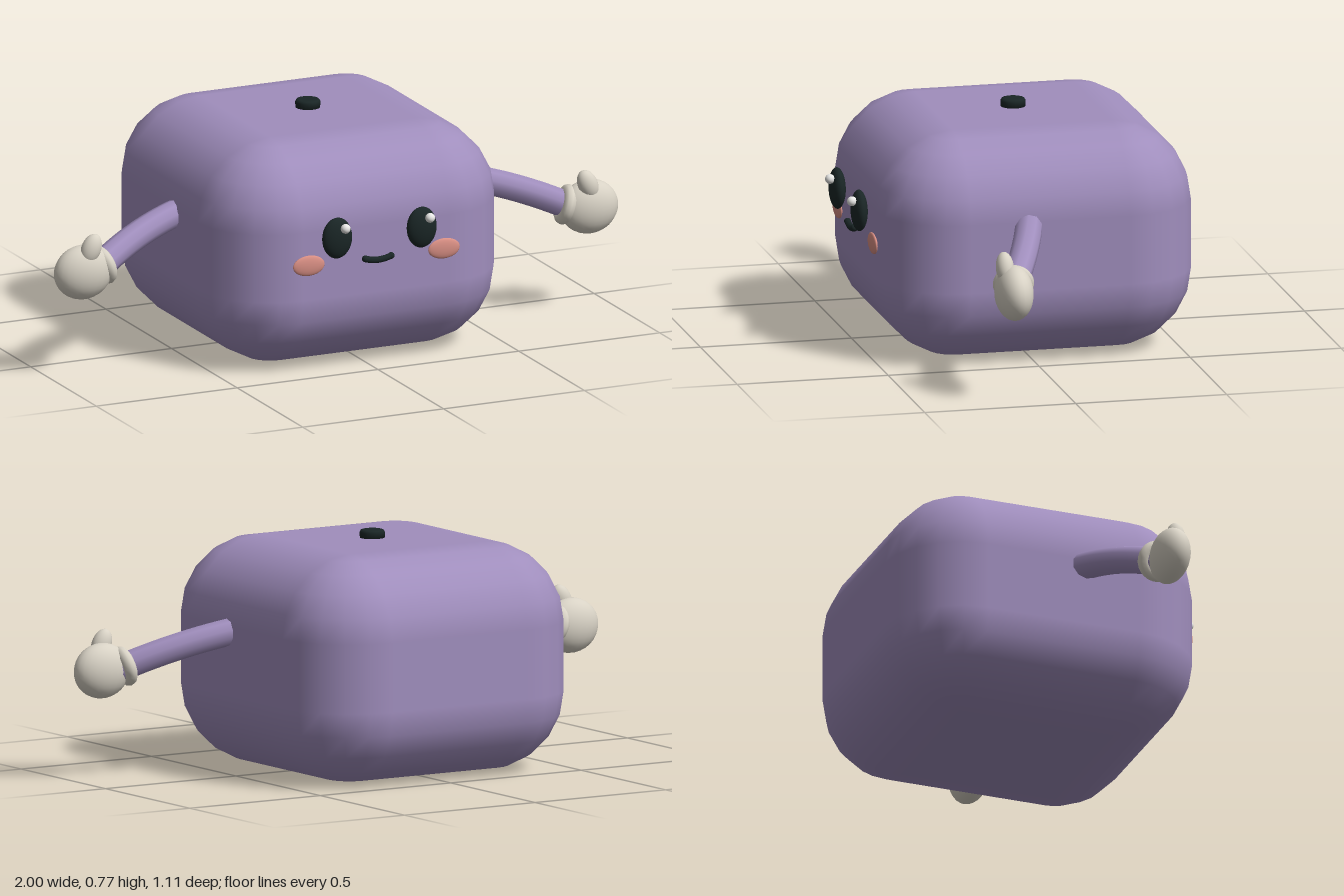
import * as THREE from 'three';

const mat = (name, color) => {
  const m = new THREE.MeshStandardMaterial({ color });
  m.name = name;
  return m;
};

// Rounded box: a sphere grid whose octants are pushed apart, closed by flat caps
function roundedBody(w, h, d, r, n) {
  const cols = 4 * (n + 1), rows = 2 * n + 3;
  const geo = new THREE.PlaneGeometry(1, 1, cols, rows);
  const pos = geo.attributes.position, nor = geo.attributes.normal;
  const step = Math.PI / 2 / n;
  for (let j = 0; j <= rows; j++) {
    for (let i = 0; i <= cols; i++) {
      const k = j * (cols + 1) + i;
      const top = j <= n + 1, sy = top ? 1 : -1;
      if (j === 0 || j === rows) {
        pos.setXYZ(k, 0, sy * h / 2, 0);
        nor.setXYZ(k, 0, sy, 0);
        continue;
      }
      const q = Math.floor(i / (n + 1)) % 4;
      const a = (q * n + i % (n + 1)) * step;
      const t = (top ? j - 1 : j - 2) * step;
      const sx = q < 2 ? 1 : -1, sz = q === 0 || q === 3 ? 1 : -1;
      const x = Math.sin(t) * Math.sin(a), y = Math.cos(t), z = Math.sin(t) * Math.cos(a);
      nor.setXYZ(k, x, y, z);
      pos.setXYZ(k, sx * (w / 2 - r) + x * r, sy * (h / 2 - r) + y * r, sz * (d / 2 - r) + z * r);
    }
  }
  return geo;
}

export function createModel() {
  const purple = mat('body purple', 0xa08ebd);
  const cream = mat('glove cream', 0xd8d2c5);
  const dark = mat('dark green black', 0x1a2626);
  const pink = mat('cheek pink', 0xd98f84);
  const white = mat('highlight white', 0xe8e8e6);

  const model = new THREE.Group();
  model.name = 'boxCharacter';
  const add = (name, geo, material, x, y, z, parent = model) => {
    const mesh = new THREE.Mesh(geo, material);
    mesh.name = name;
    mesh.position.set(x, y, z);
    parent.add(mesh);
    return mesh;
  };
  const ellipsoid = (rx, ry, rz) => new THREE.SphereGeometry(1, 24, 16).scale(rx, ry, rz);

  add('body', roundedBody(1.03, 0.74, 1.04, 0.257, 5), purple, 0, 0.372, -0.035);

  // Small button on top with a softened rim
  const rim = [[0, 0], [0.04, 0], [0.041, 0.022], [0.037, 0.029], [0.03, 0.031], [0, 0.031]];
  add('topButton', new THREE.LatheGeometry(rim.map(p => new THREE.Vector2(...p)), 20), dark, 0, 0.738, -0.035);

  // Face
  for (const s of [1, -1]) {
    const side = s > 0 ? 'left' : 'right';
    add(side + 'Eye', ellipsoid(0.052, 0.068, 0.026), dark, s * 0.15, 0.464, 0.511);
    add(side + 'EyeHighlight', ellipsoid(0.016, 0.016, 0.016), white, s * 0.15 + 0.017, 0.5, 0.539);
    add(side + 'Cheek', ellipsoid(0.056, 0.034, 0.01), pink, s * 0.24, 0.376, 0.488);
  }
  const smile = new THREE.QuadraticBezierCurve3(
    new THREE.Vector3(-0.046, 0.379, 0), new THREE.Vector3(0, 0.363, 0), new THREE.Vector3(0.046, 0.379, 0));
  add('mouth', new THREE.TubeGeometry(smile, 12, 0.011, 8), dark, 0, 0, 0.502);
  for (const s of [1, -1]) add('mouthEnd', ellipsoid(0.011, 0.011, 0.011), dark, s * 0.046, 0.379, 0.502);

  // Arms with gloved hands
  for (const s of [1, -1]) {
    const arm = new THREE.Group();
    arm.name = s > 0 ? 'leftArm' : 'rightArm';
    model.add(arm);
    const path = new THREE.QuadraticBezierCurve3(
      new THREE.Vector3(s * 0.45, 0.475, 0.022),
      new THREE.Vector3(s * 0.65, 0.445, 0.07),
      new THREE.Vector3(s * 0.84, 0.357, 0.17));
    add('sleeve', new THREE.TubeGeometry(path, 14, 0.045, 10), purple, 0, 0, 0, arm);
    const cuff = add('cuff', new THREE.TorusGeometry(0.046, 0.021, 10, 24), cream, s * 0.822, 0.366, 0.163, arm);
    cuff.quaternion.setFromUnitVectors(new THREE.Vector3(0, 0, 1), new THREE.Vector3(s * 0.93, -0.3, 0.15).normalize());
    add('palm', ellipsoid(0.1, 0.09, 0.061), cream, s * 0.898, 0.355, 0.18, arm);
    const thumb = add('thumb', ellipsoid(0.033, 0.052, 0.029), cream, s * 0.882, 0.436, 0.206, arm);
    thumb.rotation.z = s * 0.4;
  }
  return model;
}
